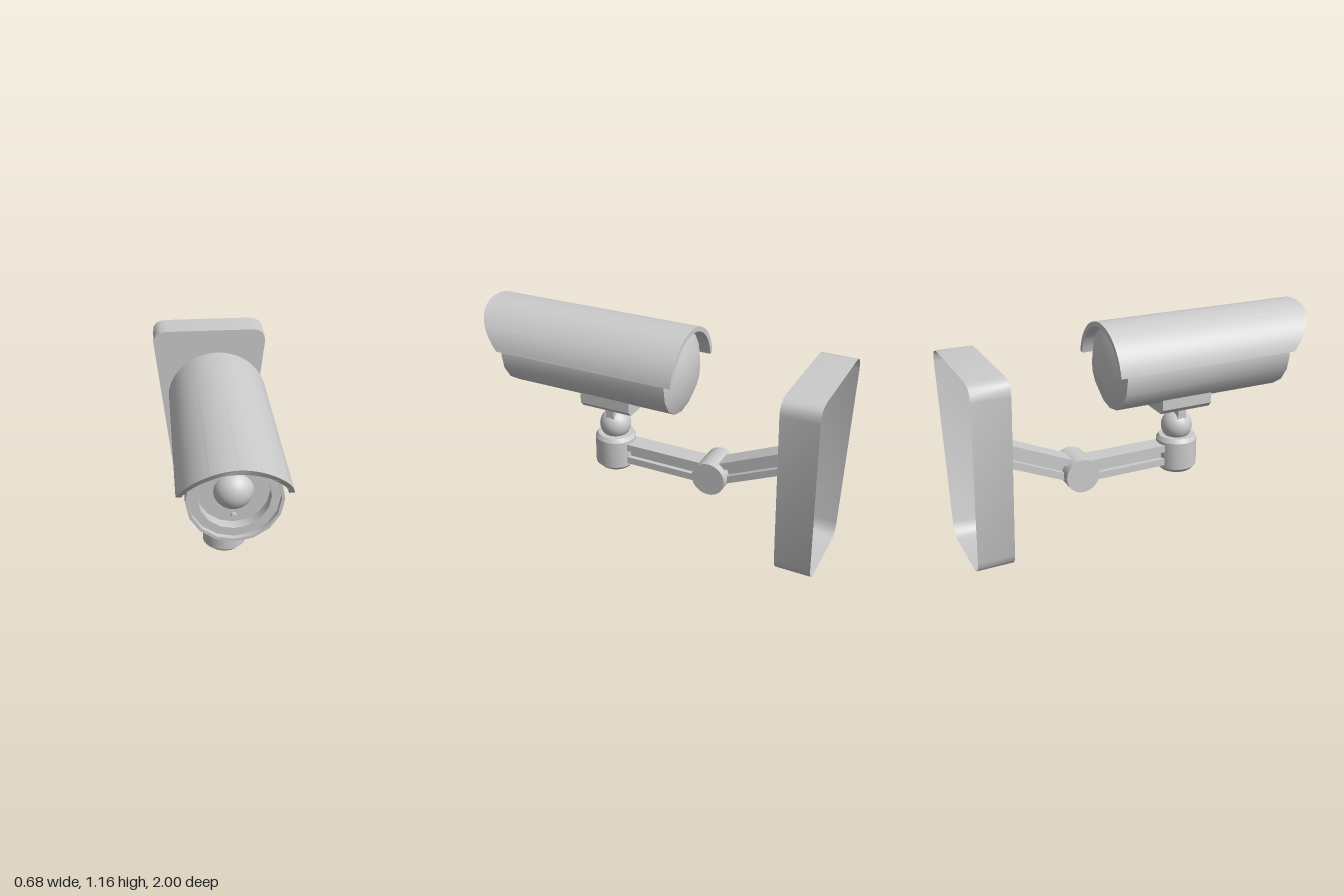
import * as THREE from 'three';
import { toCreasedNormals } from 'three/addons/utils/BufferGeometryUtils.js';

const grey = new THREE.MeshStandardMaterial({ color: 0xcccccc });
const greyDouble = new THREE.MeshStandardMaterial({ color: 0xcccccc, side: THREE.DoubleSide });

export function createModel() {
  const model = new THREE.Group();

  const add = (name, geometry, x = 0, y = 0, z = 0, material = grey, parent = model) => {
    const mesh = new THREE.Mesh(geometry, material);
    mesh.name = name;
    mesh.position.set(x, y, z);
    parent.add(mesh);
    return mesh;
  };
  const lathe = (points, sides) => toCreasedNormals(
    new THREE.LatheGeometry(points.map(p => new THREE.Vector2(...p)), sides), 0.5);
  const polygon = points => new THREE.Shape(points.map(p => new THREE.Vector2(...p)));
  const extrude = (shape, depth, curveSegments = 6) =>
    new THREE.ExtrudeGeometry(shape, { depth, bevelEnabled: false, curveSegments });

  // Wall plate: tapered tray with rounded corners, open at the back
  const s = new THREE.Shape();
  s.moveTo(-0.16, 0);
  s.lineTo(0.16, 0);
  s.quadraticCurveTo(0.23, 0, 0.241, 0.075);
  s.lineTo(0.34, 0.97);
  s.quadraticCurveTo(0.342, 1.048, 0.26, 1.048);
  s.lineTo(-0.26, 1.048);
  s.quadraticCurveTo(-0.342, 1.048, -0.34, 0.97);
  s.lineTo(-0.241, 0.075);
  s.quadraticCurveTo(-0.23, 0, -0.16, 0);
  const tray = extrude(s, 0.195, 4);
  const tp = tray.attributes.position, tn = tray.attributes.normal;
  for (let i = 0; i < tp.count; i++) {
    if (tn.getZ(i) < -0.5) tp.setZ(i, 0.19); // back cap becomes the tray floor
  }
  add('wallPlate', toCreasedNormals(tray, 0.6), 0, 0, -1, greyDouble);

  // Arm sections: I-beam profile, running along +z
  const h = 0.06, w = 0.055, web = 0.03, g = 0.02;
  const beam = polygon([
    [-w, -h], [w, -h], [w, -g], [web, -g], [web, g], [w, g],
    [w, h], [-w, h], [-w, g], [-web, g], [-web, -g], [-w, -g],
  ]);
  add('frontArm', extrude(beam, 0.56), 0, 0.365, -0.36);
  const rearArm = add('rearArm', extrude(beam, 0.525), 0, 0.365, -0.36);
  rearArm.rotation.set(Math.PI - 0.42, 0, 0);
  rearArm.rotation.x = Math.PI + 0.42;

  // Elbow joint between the arms
  const elbow = new THREE.CylinderGeometry(0.094, 0.094, 0.2, 24);
  add('elbowJoint', elbow.rotateZ(Math.PI / 2), 0, 0.365, -0.36);

  // Swivel socket, ball and neck
  const mz = 0.255;
  add('socket', lathe([[0, 0.26], [0.09, 0.26], [0.115, 0.285], [0.115, 0.442],
    [0.1, 0.465], [0, 0.465]], 24), 0, 0, mz);
  add('ball', new THREE.SphereGeometry(0.088, 24, 16), 0, 0.518, mz);
  add('neck', new THREE.BoxGeometry(0.13, 0.1, 0.05), 0, 0.595, mz);
  add('neckFlange', new THREE.BoxGeometry(0.13, 0.012, 0.12), 0, 0.635, mz);

  // Bracket below the housing with chamfered lower edges
  add('bracket', extrude(polygon([[-0.12, 0.665], [-0.095, 0.638], [0.095, 0.638],
    [0.12, 0.665], [0.12, 0.725], [-0.12, 0.725]]), 0.3), 0, 0, 0.105);

  // Camera housing: tapered back, stepped recess at the front
  const camera = new THREE.Group();
  camera.name = 'cameraHead';
  camera.position.y = 0.91;
  model.add(camera);
  const housing = lathe([[0, -0.2], [0.13, -0.2], [0.225, -0.155], [0.225, 0.84],
    [0.21, 0.84], [0.21, 0.815], [0.168, 0.815], [0.168, 0.76], [0, 0.76]], 16);
  add('housing', housing.rotateX(Math.PI / 2), 0, 0, 0, grey, camera);
  add('lens', new THREE.SphereGeometry(0.097, 24, 16), 0, 0, 0.735, grey, camera);
  const lamp = new THREE.CylinderGeometry(0.014, 0.014, 0.03, 12);
  add('indicatorLamp', lamp.rotateX(Math.PI / 2), 0, -0.13, 0.765, grey, camera);

  // Sun shield: arched strip whose front edge sweeps back towards the sides
  const a = 0.17, arch = new THREE.Shape();
  arch.absarc(0, 0, 0.27, a, Math.PI - a, false);
  arch.absarc(0, 0, 0.244, Math.PI - a, a, true);
  const shield = extrude(arch, 1, 24);
  const sp = shield.attributes.position;
  for (let i = 0; i < sp.count; i++) {
    const drop = Math.max(0, 0.27 - sp.getY(i)) / 0.225;
    sp.setZ(i, sp.getZ(i) > 0.5 ? 1 - 0.16 * Math.pow(drop, 1.4) : -0.21);
  }
  add('sunShield', toCreasedNormals(shield, 0.5), 0, 0.895, 0);

  return model;
}
